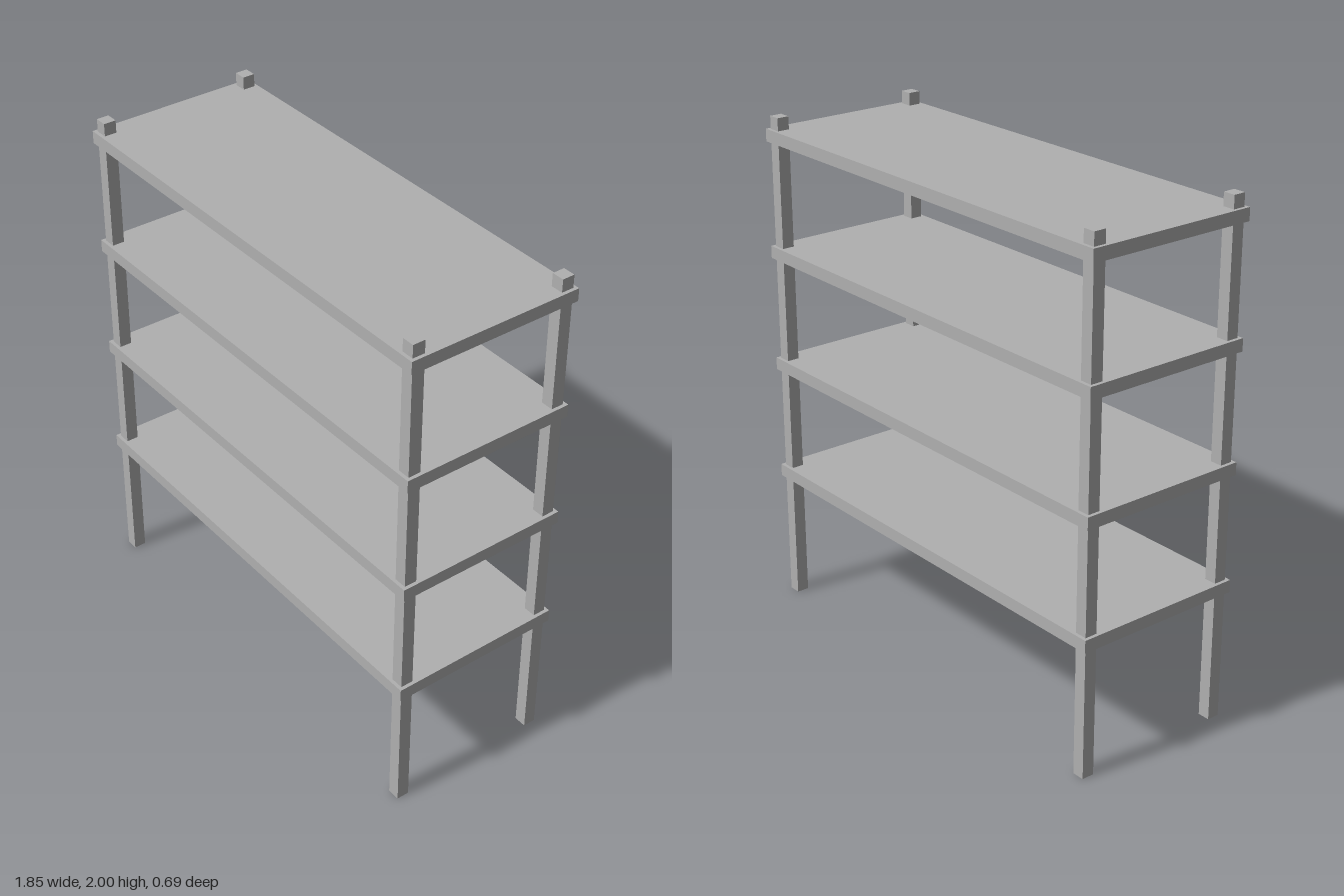
import * as THREE from 'three';

const POST = { size: 0.049, height: 2, x: 0.885, z: 0.308 };
const SHELF = { width: 1.846, thickness: 0.049, depth: 0.692, lowest: 0.538, spacing: 0.4625, count: 4 };

export function createModel() {
  const model = new THREE.Group();
  model.name = 'shelvingUnit';
  const grey = new THREE.MeshStandardMaterial({ color: 0xb0b0b0 });
  grey.name = 'grey';

  const addPart = (name, geometry, x, y, z) => {
    const mesh = new THREE.Mesh(geometry, grey);
    mesh.name = name;
    mesh.position.set(x, y, z);
    model.add(mesh);
  };

  // Four square corner posts, running the full height
  const postGeometry = new THREE.BoxGeometry(POST.size, POST.height, POST.size);
  for (const [side, sx] of [['Left', 1], ['Right', -1]]) {
    for (const [end, sz] of [['front', 1], ['back', -1]]) {
      addPart(`${end}${side}Post`, postGeometry, sx * POST.x, POST.height / 2, sz * POST.z);
    }
  }

  // Evenly spaced shelves, slightly overhanging the posts
  const shelfGeometry = new THREE.BoxGeometry(SHELF.width, SHELF.thickness, SHELF.depth);
  for (let i = 0; i < SHELF.count; i++) {
    addPart(`shelf${i + 1}`, shelfGeometry, 0, SHELF.lowest + i * SHELF.spacing, 0);
  }

  return model;
}
